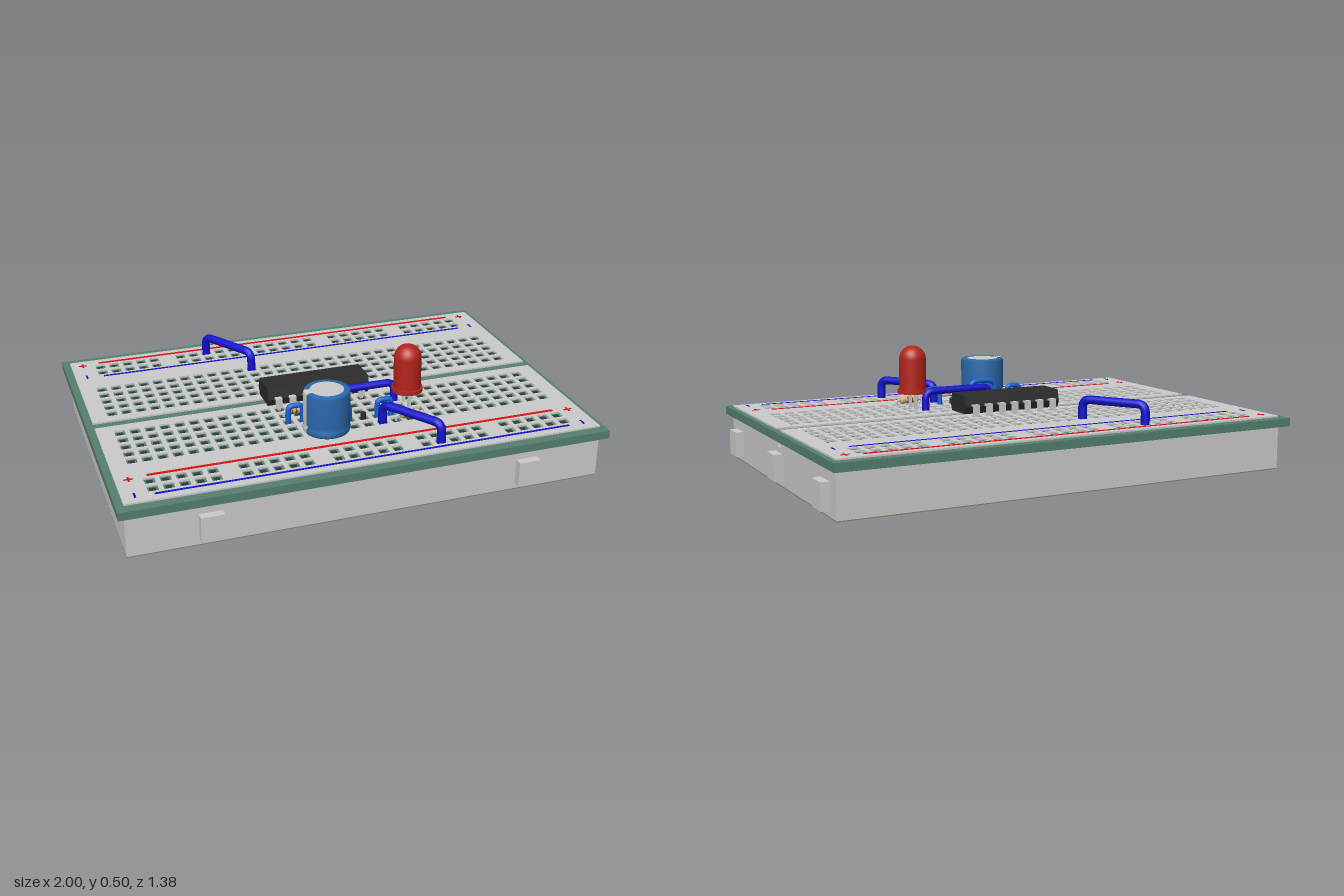
import * as THREE from 'three';
import { mergeGeometries } from 'three/addons/utils/BufferGeometryUtils.js';

const PITCH = 0.0604, TOP = 0.226, PLATE = 0.219;
const col = (k) => -0.88 + PITCH * k;
const railCol = (k) => -0.846 + PITCH * k;
const mat = (color, side = THREE.FrontSide) => new THREE.MeshStandardMaterial({ color, side });

export function createModel() {
  const root = new THREE.Group();
  const M = {
    grey: mat(0xcccccc), green: mat(0x55806e), olive: mat(0x88866a), dark: mat(0x2b3a36),
    red: mat(0xdd1111), blue: mat(0x1212cc), lightBlue: mat(0x1560d0), black: mat(0x2c2c2c),
    metal: mat(0xbfbfbf), tan: mat(0xd8b27c), brown: mat(0x7a4420),
    led: mat(0xb5241c, THREE.DoubleSide), can: mat(0x2b69ad, THREE.DoubleSide), stripe: mat(0xd6d2c0, THREE.DoubleSide),
  };
  const add = (name, geo, material, parent = root) => {
    const mesh = new THREE.Mesh(geo, material);
    mesh.name = name;
    parent.add(mesh);
    return mesh;
  };
  const group = (name, x = 0, y = 0, z = 0) => {
    const g = new THREE.Group();
    g.name = name;
    g.position.set(x, y, z);
    root.add(g);
    return g;
  };
  // box given by its limits
  const boxGeo = (x0, x1, y0, y1, z0, z1) => new THREE.BoxGeometry(x1 - x0, y1 - y0, z1 - z0)
    .translate((x0 + x1) / 2, (y0 + y1) / 2, (z0 + z1) / 2);
  const rod = (r, h, x, y, z, seg = 10) => new THREE.CylinderGeometry(r, r, h, seg).translate(x, y, z);

  // base block with a tunnel under the middle groove
  const section = new THREE.Shape([
    [-0.65, 0.004], [0.65, 0.004], [0.65, 0.186], [0.025, 0.186], [0.025, 0.156],
    [-0.022, 0.156], [-0.022, 0.186], [-0.65, 0.186],
  ].map(([a, b]) => new THREE.Vector2(a, b)));
  add('base', new THREE.ExtrudeGeometry(section, { depth: 1.938, bevelEnabled: false })
    .rotateY(Math.PI / 2).translate(-0.973, 0, 0), M.grey);
  add('backing', boxGeo(-0.973, 0.965, 0, 0.004, -0.65, 0.65), M.olive);
  add('greenPlate', boxGeo(-1, 0.986, 0.185, PLATE, -0.692, 0.692), M.green);

  // interlocking tabs on the front and the right-hand side
  for (const x of [-0.652, 0.643]) add('frontTab', boxGeo(x - 0.046, x + 0.046, 0.027, 0.133, 0.65, 0.683), M.grey);
  for (const z of [-0.54, 0, 0.54]) add('sideTab', boxGeo(0.965, 1, 0.027, 0.133, z - 0.045, z + 0.045), M.grey);

  // hole positions: five-row terminal blocks and rails in groups of five
  const contacts = [];
  const halfHoles = (side) => {
    const list = [];
    for (let r = 0; r < 5; r++)
      for (let k = 0; k < 30; k++) list.push([col(k), side * (0.093 + r * 0.0605)]);
    for (const z of side > 0 ? [0.507, 0.566] : [-0.513, -0.572])
      for (let k = 0; k < 29; k++) if (k % 6 !== 5) list.push([railCol(k), z]);
    return list;
  };
  const rect = (path, x0, x1, y0, y1) => {
    path.moveTo(x0, y0);
    path.lineTo(x1, y0);
    path.lineTo(x1, y1);
    path.lineTo(x0, y1);
    path.closePath();
    return path;
  };
  // perforated top panels
  for (const side of [-1, 1]) {
    const [z0, z1] = side > 0 ? [0.022, 0.65] : [-0.652, -0.025];
    const shape = rect(new THREE.Shape(), -0.97, 0.965, -z1, -z0);
    for (const [x, z] of halfHoles(side)) {
      shape.holes.push(rect(new THREE.Path(), x - 0.021, x + 0.021, -z - 0.021, -z + 0.021));
      contacts.push(boxGeo(x - 0.012, x + 0.012, PLATE - 0.002, PLATE + 0.001, z - 0.012, z + 0.012));
    }
    add(side > 0 ? 'frontPanel' : 'backPanel', new THREE.ExtrudeGeometry(shape, { depth: TOP - PLATE, bevelEnabled: false })
      .rotateX(-Math.PI / 2).translate(0, PLATE, 0), M.grey);
  }
  add('contacts', mergeGeometries(contacts), M.dark);

  // printed rail lines and polarity marks
  const mark = (name, x, z, w, d, m) => add(name, boxGeo(x - w / 2, x + w / 2, TOP - 0.001, TOP + 0.0015, z - d / 2, z + d / 2), m);
  for (const [zr, zb] of [[-0.614, -0.47], [0.465, 0.609]]) {
    mark('redLine', 0, zr, 1.696, 0.014, M.red);
    mark('blueLine', 0, zb, 1.696, 0.011, M.blue);
    for (const x of [-0.92, 0.912]) {
      mark('positiveMark', x, zr + 0.012, 0.034, 0.008, M.red);
      mark('positiveMark', x, zr + 0.012, 0.008, 0.034, M.red);
      mark('negativeMark', x, zb - 0.01, 0.008, 0.034, M.blue);
    }
  }

  // bridge-shaped wires with rounded bends
  const wire = (name, x0, z0, x1, z1, h, r, material, bend = 0.035) => {
    const a = new THREE.Vector3(x0, PLATE, z0), b = new THREE.Vector3(x1, PLATE, z1);
    const at = a.clone().setY(h), bt = b.clone().setY(h);
    const dir = bt.clone().sub(at).normalize().multiplyScalar(bend);
    const a1 = at.clone().setY(h - bend), a2 = at.clone().add(dir);
    const b1 = bt.clone().sub(dir), b2 = bt.clone().setY(h - bend);
    const path = new THREE.CurvePath();
    path.add(new THREE.LineCurve3(a, a1));
    path.add(new THREE.QuadraticBezierCurve3(a1, at, a2));
    path.add(new THREE.LineCurve3(a2, b1));
    path.add(new THREE.QuadraticBezierCurve3(b1, bt, b2));
    path.add(new THREE.LineCurve3(b2, b));
    add(name, new THREE.TubeGeometry(path, 48, r, 12), material);
  };
  wire('backJumper', railCol(8), -0.572, col(11), -0.335, 0.305, 0.018, M.blue);
  wire('frontJumper', col(17), 0.335, railCol(19), 0.572, 0.305, 0.018, M.blue);
  wire('longJumper', col(14), 0.153, col(19), 0.153, 0.305, 0.016, M.blue);
  wire('shortJumper', col(11), 0.214, col(12), 0.214, 0.295, 0.011, M.lightBlue, 0.02);
  wire('shortJumper', col(13), 0.214, col(15), 0.214, 0.325, 0.011, M.lightBlue);
  wire('shortJumper', col(17), 0.274, col(18), 0.274, 0.295, 0.011, M.lightBlue, 0.02);
  add('bluePin', rod(0.011, 0.06, col(15), 0.249, 0.274), M.lightBlue);
  add('blackPin', rod(0.011, 0.03, col(16), 0.234, 0.274), M.black);

  // chip: tapered body with bent legs
  const chip = group('chip', col(14), 0, 0);
  const body = new THREE.Shape([[-0.06, 0.232], [0.06, 0.232], [0.072, 0.262], [0.06, 0.308], [-0.06, 0.308], [-0.072, 0.262]]
    .map(([a, b]) => new THREE.Vector2(a, b)));
  add('chipBody', new THREE.ExtrudeGeometry(body, { depth: 0.444, bevelEnabled: false })
    .rotateY(Math.PI / 2).translate(-0.222, 0, 0), M.black, chip);
  for (const side of [-1, 1]) for (let k = -3; k <= 3; k++) {
    const x = k * PITCH, z = side * 0.089;
    add('chipLeg', mergeGeometries([
      boxGeo(x - 0.014, x + 0.014, 0.232, 0.272, z - 0.004, z + 0.004),
      boxGeo(x - 0.006, x + 0.006, 0.215, 0.232, z - 0.004, z + 0.004),
      boxGeo(x - 0.014, x + 0.014, 0.264, 0.272, Math.min(z, side * 0.06), Math.max(z, side * 0.06)),
    ]), M.metal, chip);
  }

  // lamp: flange, cylinder and dome on two legs
  const lamp = group('lamp', 0.3, 0, 0.216);
  const dome = [[0, 0.293], [0.065, 0.293], [0.065, 0.31], [0.057, 0.31]].map(([r, y]) => new THREE.Vector2(r, y));
  const ringBase = new THREE.LatheGeometry(dome, 32).toNonIndexed();
  ringBase.computeVertexNormals();
  add('lampFlange', ringBase, M.led, lamp);
  const bulb = [new THREE.Vector2(0.057, 0.31)];
  for (let i = 0; i <= 10; i++) {
    const t = (i / 10) * Math.PI / 2;
    bulb.push(new THREE.Vector2(0.057 * Math.cos(t), 0.44 + 0.057 * Math.sin(t)));
  }
  add('lampBulb', new THREE.LatheGeometry(bulb, 32), M.led, lamp);
  for (const z of [-0.03, 0.03]) add('lampLeg', boxGeo(-0.006, 0.006, 0.215, 0.295, z - 0.006, z + 0.006), M.metal, lamp);

  // capacitor: grooved can, top disc and polarity stripe
  const cap = group('capacitor', -0.093, 0, 0.337);
  const can = [[0, 0.232], [0.088, 0.232], [0.094, 0.24], [0.094, 0.258], [0.087, 0.267], [0.094, 0.276],
    [0.094, 0.402], [0.088, 0.41], [0.068, 0.41]].map(([r, y]) => new THREE.Vector2(r, y));
  add('can', new THREE.LatheGeometry(can, 40), M.can, cap);
  add('canTop', new THREE.CylinderGeometry(0.07, 0.07, 0.006, 40).translate(0, 0.406, 0), M.metal, cap);
  const band = can.slice(1).map((p) => new THREE.Vector2(p.x + 0.001, p.y + (p.y > 0.4 ? 0.001 : 0)));
  add('canStripe', new THREE.LatheGeometry(band, 6, -Math.PI / 2 - 0.25, 0.5), M.stripe, cap);
  for (const x of [-0.03, 0.03]) add('canLeg', rod(0.006, 0.03, x, 0.224, 0), M.metal, cap);

  // resistors: bulged body, colour bands and lead wire
  for (const [k, z] of [[11, 0.153], [18, 0.335]]) {
    const r = group('resistor', col(k + 1), 0.245, z);
    const half = [[0, -0.042], [0.013, -0.041], [0.017, -0.034], [0.017, -0.024], [0.014, -0.019],
      [0.014, 0.019], [0.017, 0.024], [0.017, 0.034], [0.013, 0.041], [0, 0.042]];
    add('resistorBody', new THREE.LatheGeometry(half.map(([a, b]) => new THREE.Vector2(a, b)), 16).rotateZ(Math.PI / 2), M.tan, r);
    for (const x of [-0.029, -0.01, 0.008])
      add('resistorBand', rod(x < -0.02 ? 0.0175 : 0.0146, 0.006, 0, 0, 0, 16).rotateZ(Math.PI / 2).translate(x, 0, 0), M.brown, r);
    wire('resistorLead', col(k), z, col(k + 2), z, 0.245, 0.005, M.metal, 0.012);
  }
  return root;
}
